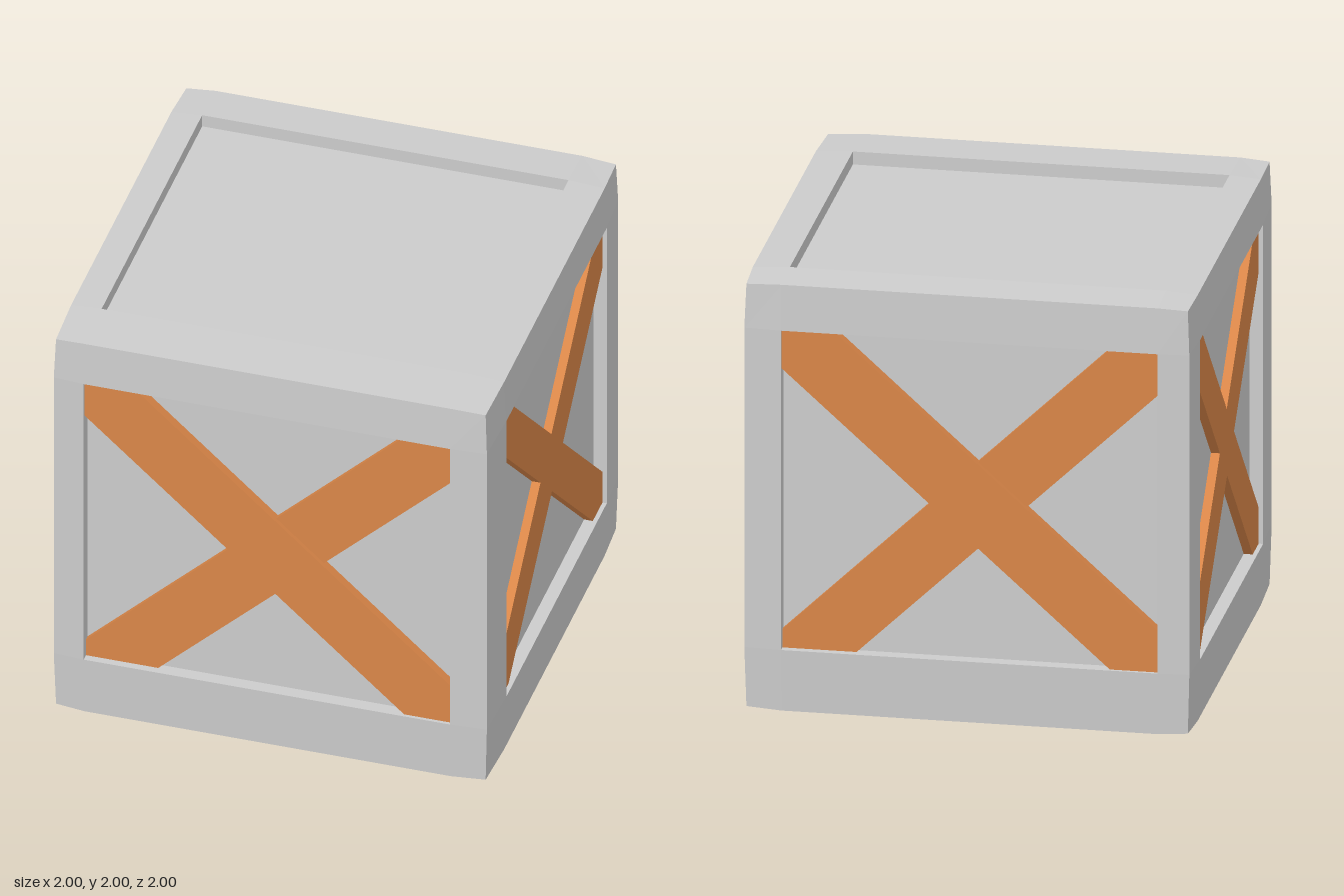
import * as THREE from 'three';

// Grid lines of the opening on each axis (x, y, z), measured from the crate's centre
const OPENING = [[-0.85, 0.825], [-0.705, 0.78], [-0.785, 0.73]];
// Slight bulge: extent of opening rims, edges and corners
const EXTENT = [0, 1.0, 0.99, 0.982];
const RECESS = 0.06;

const grey = new THREE.MeshStandardMaterial({ color: 0xcccccc, flatShading: true });
const wood = new THREE.MeshStandardMaterial({ color: 0xd98648, flatShading: true });

// Point of the 4 x 4 x 4 grid that shapes the crate
function gridPoint(index) {
  const outer = index.filter((i) => i === 0 || i === 3).length;
  return index.map((i, axis) => {
    if (i === 0) return -EXTENT[outer];
    if (i === 3) return EXTENT[outer];
    return OPENING[axis][i - 1];
  });
}

function meshFromQuads(name, quads) {
  const positions = [];
  for (const [a, b, c, d] of quads) positions.push(...a, ...b, ...c, ...a, ...c, ...d);
  const geometry = new THREE.BufferGeometry();
  geometry.setAttribute('position', new THREE.Float32BufferAttribute(positions, 3));
  geometry.computeVertexNormals();
  const mesh = new THREE.Mesh(geometry, grey);
  mesh.name = name;
  mesh.position.y = 1;
  return mesh;
}

// Frame borders, recess walls and sunken panels of all six sides
function createBody() {
  const frame = [];
  const panels = [];
  for (let axis = 0; axis < 3; axis++) {
    for (const sign of [-1, 1]) {
      const u = (axis + 1) % 3;
      const v = (axis + 2) % 3;
      const point = (i, j) => {
        const index = [];
        index[axis] = sign > 0 ? 3 : 0;
        index[u] = i;
        index[v] = j;
        return gridPoint(index);
      };
      const add = (list, quad) => list.push(sign > 0 ? quad : quad.reverse());

      for (let i = 0; i < 3; i++) {
        for (let j = 0; j < 3; j++) {
          if (i === 1 && j === 1) continue;
          add(frame, [point(i, j), point(i + 1, j), point(i + 1, j + 1), point(i, j + 1)]);
        }
      }
      const rim = [point(1, 1), point(2, 1), point(2, 2), point(1, 2)];
      const floor = rim.map((p) => p.map((c, k) => (k === axis ? c - sign * RECESS : c)));
      for (let k = 0; k < 4; k++) {
        const n = (k + 1) % 4;
        add(frame, [rim[k], rim[n], floor[n], floor[k]]);
      }
      add(panels, floor);
    }
  }
  return [meshFromQuads('frame', frame), meshFromQuads('panels', panels)];
}

// Flat diagonal plank, its ends cut to the opening
function createBar(name, outline, front, shift) {
  const back = 1 - RECESS - 0.005;
  const shape = new THREE.Shape(outline.map(([x, y]) => new THREE.Vector2(x + shift, y)));
  const geometry = new THREE.ExtrudeGeometry(shape, { depth: front - back, bevelEnabled: false });
  geometry.translate(0, 0, back);
  const mesh = new THREE.Mesh(geometry, wood);
  mesh.name = name;
  return mesh;
}

// Bar outlines: falling runs from top left to bottom right, rising the other way
const WIDE = {
  falling: [[-0.85, 1.78], [-0.85, 1.6], [0.61, 0.295], [0.825, 0.295], [0.825, 0.49], [-0.61, 1.78]],
  rising: [[0.825, 1.78], [0.61, 1.78], [-0.85, 0.38], [-0.85, 0.295], [-0.52, 0.295], [0.825, 1.58]],
  fallingFront: 0.985,
  risingFront: 0.965,
};
const NARROW = {
  falling: [[-0.733, 1.78], [-0.733, 1.6], [0.64, 0.295], [0.785, 0.295], [0.785, 0.46], [-0.6, 1.78]],
  rising: [[0.785, 1.78], [0.67, 1.78], [-0.733, 0.52], [-0.733, 0.295], [-0.63, 0.295], [0.785, 1.56]],
  fallingFront: 0.98,
  risingFront: 0.98,
};

export function createModel() {
  const model = new THREE.Group();
  model.name = 'crate';
  model.add(...createBody());

  // Crossed bars on the four upright sides
  const sides = [
    ['front', WIDE, 0, 0],
    ['right', NARROW, Math.PI / 2, 0],
    ['back', WIDE, Math.PI, 0.025],
    ['left', NARROW, -Math.PI / 2, -0.052],
  ];
  for (const [side, bars, angle, shift] of sides) {
    const cross = new THREE.Group();
    cross.name = `${side}CrossBrace`;
    cross.add(
      createBar('risingBar', bars.rising, bars.risingFront, shift),
      createBar('fallingBar', bars.falling, bars.fallingFront, shift),
    );
    cross.rotation.y = angle;
    model.add(cross);
  }
  return model;
}
